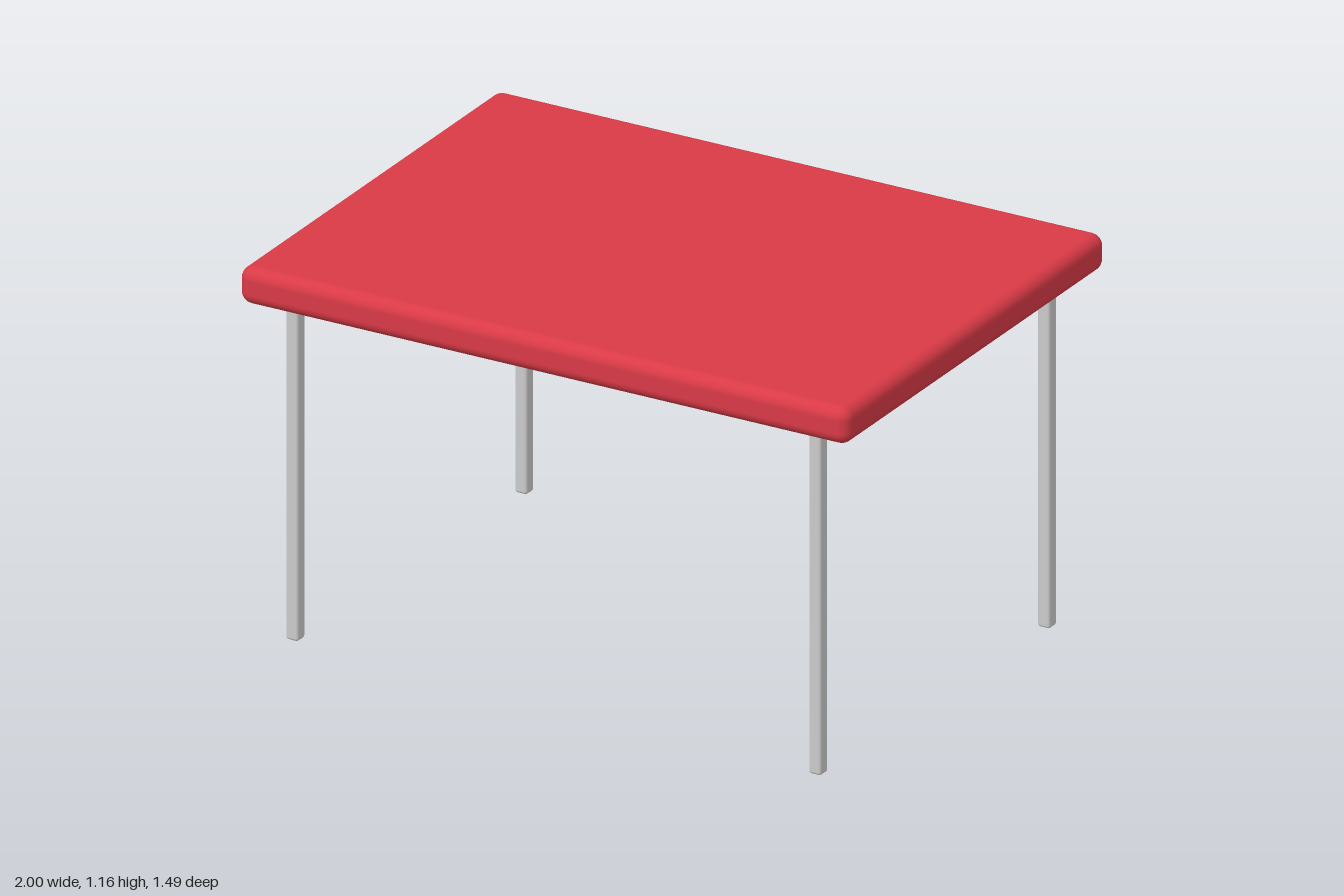
import * as THREE from 'three';
import { RoundedBoxGeometry } from 'three/addons/geometries/RoundedBoxGeometry.js';

export function createModel() {
  const table = new THREE.Group();
  table.name = 'table';
  const red = new THREE.MeshStandardMaterial({ color: 0xd93a46 });
  const grey = new THREE.MeshStandardMaterial({ color: 0xcccccc });

  // Rounded slab, turned slightly relative to the legs
  const top = new THREE.Mesh(new RoundedBoxGeometry(1.953, 0.112, 1.424, 4, 0.036), red);
  top.name = 'tabletop';
  top.position.y = 1.101;
  top.rotation.y = 0.034;
  table.add(top);

  // Four slim legs with softened edges, reaching just into the slab
  const legHeight = 1.055;
  const legGeometry = new RoundedBoxGeometry(0.04, legHeight, 0.04, 2, 0.008);
  for (const [side, x] of [['Left', 0.853], ['Right', -0.857]]) {
    for (const [end, z] of [['front', 0.593], ['back', -0.591]]) {
      const leg = new THREE.Mesh(legGeometry, grey);
      leg.name = `${end}${side}Leg`;
      leg.position.set(x, legHeight / 2, z);
      table.add(leg);
    }
  }
  return table;
}
